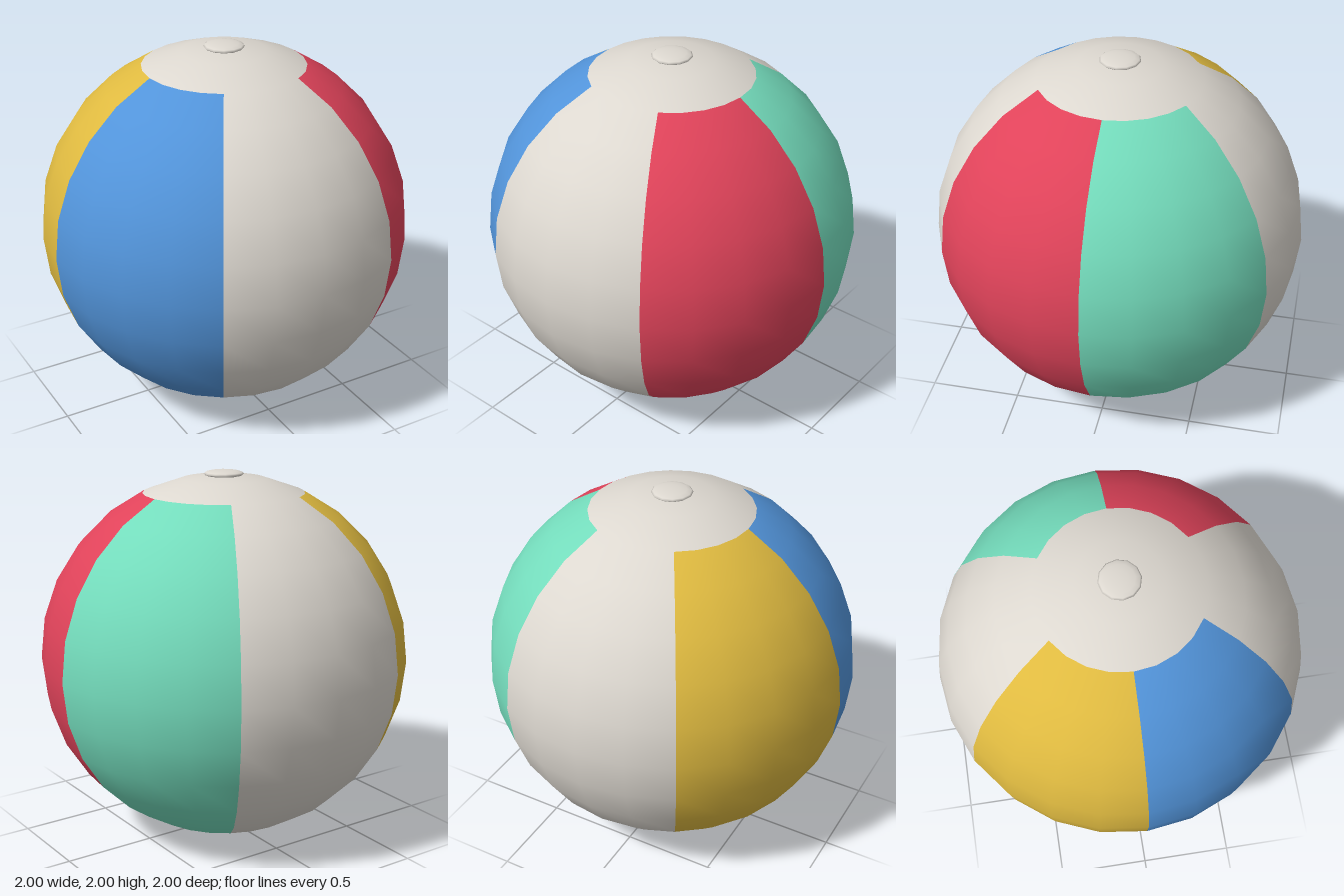
import * as THREE from 'three';

const paint = (name, color) => {
  const m = new THREE.MeshStandardMaterial({ color });
  m.name = name;
  return m;
};

export function createModel() {
  const white = paint('white', 0xddd8d0);
  const red = paint('red', 0xe0435a);
  const blue = paint('blue', 0x5294da);
  const teal = paint('teal', 0x74dcbc);
  const yellow = paint('yellow', 0xdfba40);

  const group = new THREE.Group();
  group.name = 'beachBall';

  const HALF_HEIGHT = 0.99;        // ball is very slightly squashed
  const ROW = Math.PI / 14;        // latitude step
  const CAP = 2 * ROW;             // angle covered by each end cap
  const SECTOR = Math.PI / 3;

  const addPatch = (name, material, geometry) => {
    const mesh = new THREE.Mesh(geometry, material);
    mesh.name = name;
    mesh.scale.y = HALF_HEIGHT;
    mesh.position.y = HALF_HEIGHT;
    group.add(mesh);
  };

  // Six panels between the caps, going round from -x through the front
  const panels = [
    ['bluePanel', blue], ['frontWhitePanel', white], ['redPanel', red],
    ['tealPanel', teal], ['backWhitePanel', white], ['yellowPanel', yellow],
  ];
  panels.forEach(([name, material], i) => addPatch(name, material,
    new THREE.SphereGeometry(1, 4, 10, i * SECTOR, SECTOR, CAP, Math.PI - 2 * CAP)));

  // White end caps
  addPatch('topCap', white, new THREE.SphereGeometry(1, 24, 2, 0, Math.PI * 2, 0, CAP));
  addPatch('bottomCap', white, new THREE.SphereGeometry(1, 24, 2, 0, Math.PI * 2, Math.PI - CAP, CAP));

  // Flattened valve button on top
  const valve = new THREE.Mesh(new THREE.SphereGeometry(0.108, 12, 8), white);
  valve.name = 'valve';
  valve.scale.y = 0.02 / 0.108;
  valve.position.y = 1.98;
  group.add(valve);

  return group;
}
